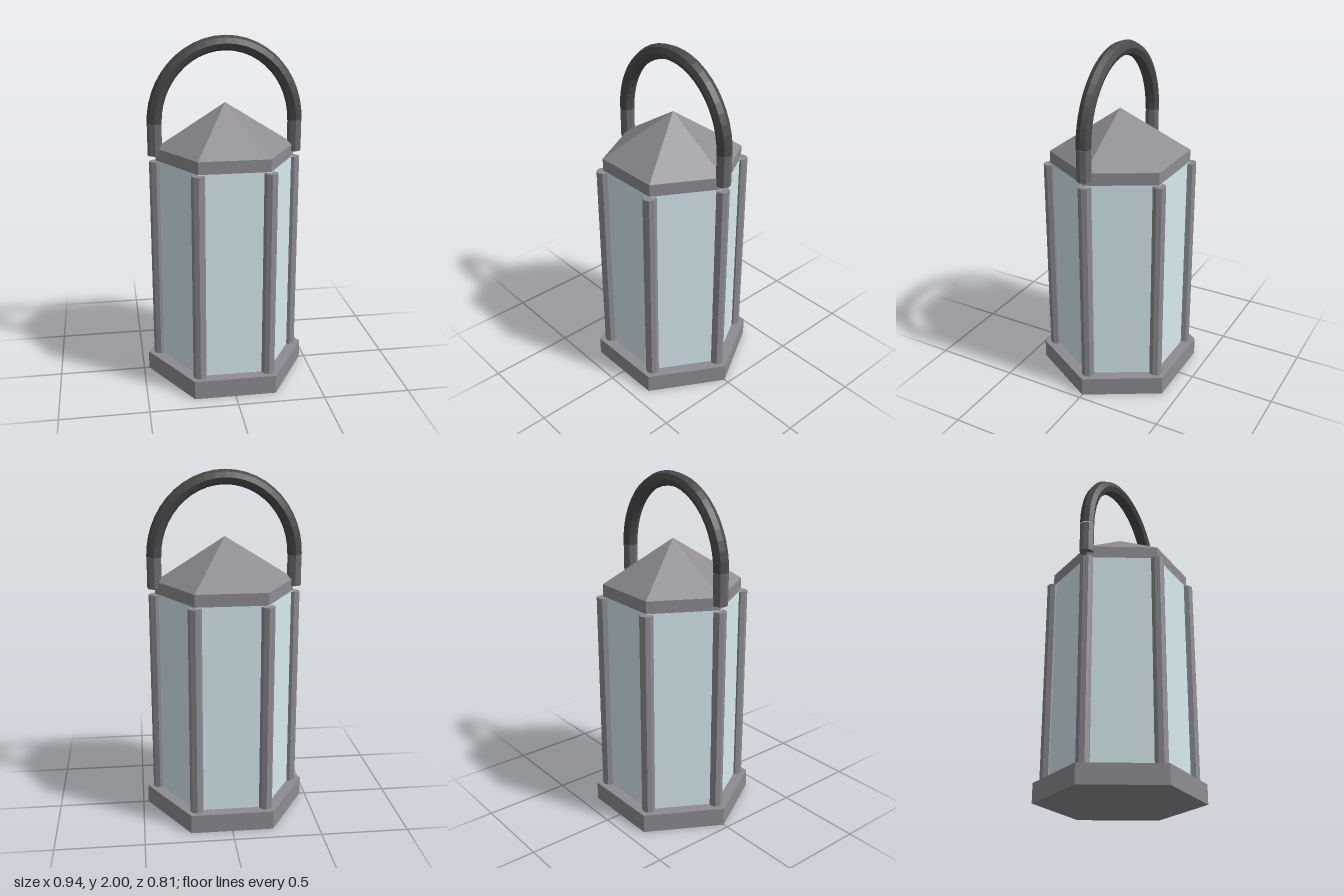
import * as THREE from 'three';

export function createModel() {
  const root = new THREE.Group();
  root.name = 'lantern';

  const mat = (color) => new THREE.MeshStandardMaterial({ color, flatShading: true });
  const metal = mat(0x8e8c92);
  const legMetal = mat(0x6a686f);
  const dark = mat(0x4a4a4a);
  const glass = mat(0xd6ebf0);

  const R = 0.397; // corner radius of the hexagonal body

  const add = (name, geometry, material, x = 0, y = 0, z = 0) => {
    const mesh = new THREE.Mesh(geometry, material);
    mesh.name = name;
    mesh.position.set(x, y, z);
    root.add(mesh);
    return mesh;
  };

  // Hexagonal prism or pyramid with corners on the x axis
  const hexagon = (name, rTop, rBottom, y0, y1, material) =>
    add(name, new THREE.CylinderGeometry(rTop, rBottom, y1 - y0, 6, 1, false, Math.PI / 6),
      material, 0, (y0 + y1) / 2, 0);

  hexagon('base', 0.47, 0.47, 0, 0.11, metal);
  hexagon('glassPanes', R, R, 0.11, 1.31, glass);
  hexagon('roofRim', R, R, 1.31, 1.38, metal);
  hexagon('roof', 0, R, 1.38, 1.63, metal);

  // Corner posts
  const postGeometry = new THREE.CylinderGeometry(0.038, 0.038, 1.2, 8);
  for (let i = 0; i < 6; i++) {
    const a = (i * Math.PI) / 3;
    add('cornerPost' + (i + 1), postGeometry, metal, R * Math.cos(a), 0.705, R * Math.sin(a));
  }

  // Straight sockets at both ends of the handle
  const socketGeometry = new THREE.CylinderGeometry(0.041, 0.041, 0.18, 8);
  add('leftHandleSocket', socketGeometry, legMetal, 0.4, 1.43, 0);
  add('rightHandleSocket', socketGeometry, legMetal, -0.4, 1.43, 0);

  // Arched carrying handle
  const points = [];
  for (let i = 0; i <= 24; i++) {
    const a = (i * Math.PI) / 24;
    points.push(new THREE.Vector3(0.4 * Math.cos(a), 1.52 + 0.438 * Math.sin(a), 0));
  }
  const arch = new THREE.CatmullRomCurve3(points);
  add('handle', new THREE.TubeGeometry(arch, 24, 0.042, 8, false), dark);

  return root;
}
